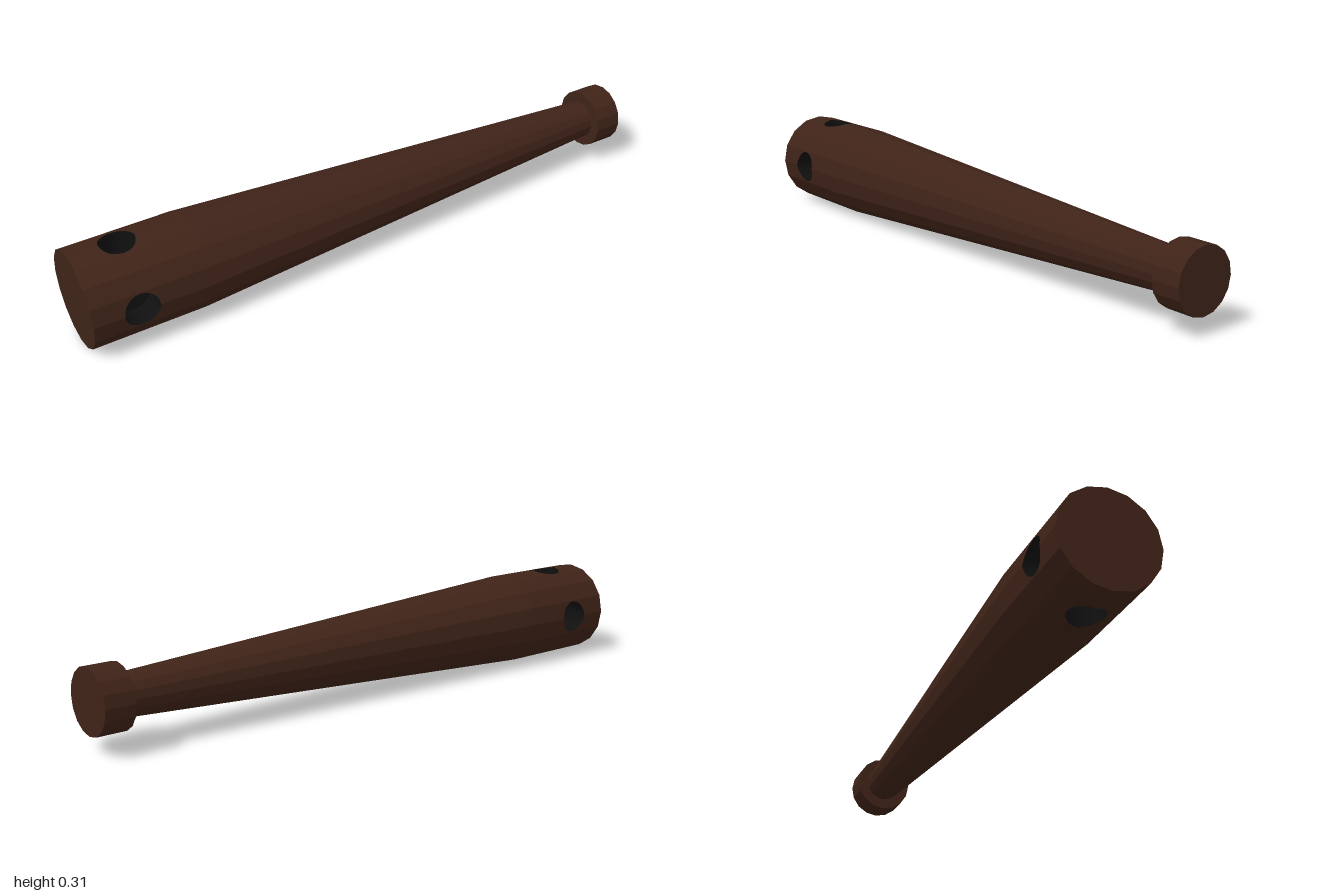
import * as THREE from 'three';

const SIDES = 16, R = 0.155, NECK_R = 0.064, KNOB_R = 0.1;
const BUTT = -1, TAPER_START = -0.64, KNOB_START = 0.905, TIP = 1;
const HOLE_X = -0.85, HOLE_R = 0.055, HOLE_FLOOR = 0.07;
const HALF_WIDTH = R * Math.sin(Math.PI / 8); // half the width of two neighbouring facets
const surfaceY = (z) => R - Math.abs(z) * Math.tan(Math.PI / 16);

const wood = new THREE.MeshStandardMaterial({ color: 0x3f2318, flatShading: true });
const dark = new THREE.MeshStandardMaterial({ color: 0x101010, side: THREE.DoubleSide });

function add(parent, name, geometry, material = wood) {
  const mesh = new THREE.Mesh(geometry, material);
  mesh.name = name;
  parent.add(mesh);
  return mesh;
}

// Cylinder lying along x, from x0 (radius r0) to x1 (radius r1)
function bar(x0, r0, x1, r1, open) {
  return new THREE.CylinderGeometry(r1, r0, x1 - x0, SIDES, 1, open)
    .rotateZ(-Math.PI / 2).translate((x0 + x1) / 2, 0, 0);
}

// One facet beside the hole, with a half-round notch in its inner edge
function notchedFacet(sign) {
  const points = [new THREE.Vector2(BUTT, 0)];
  for (let i = 0; i <= 12; i++) {
    const a = Math.PI * (1 - i / 12);
    points.push(new THREE.Vector2(HOLE_X + HOLE_R * Math.cos(a), i % 12 ? sign * HOLE_R * Math.sin(a) : 0));
  }
  points.push(new THREE.Vector2(TAPER_START, 0),
    new THREE.Vector2(TAPER_START, sign * HALF_WIDTH),
    new THREE.Vector2(BUTT, sign * HALF_WIDTH));
  const g = new THREE.ShapeGeometry(new THREE.Shape(points)).rotateX(-Math.PI / 2);
  const p = g.attributes.position;
  for (let i = 0; i < p.count; i++) p.setY(i, surfaceY(p.getZ(i)));
  g.computeVertexNormals();
  return g;
}

// Hole wall whose rim follows the folded surface
function holeWall() {
  const g = new THREE.CylinderGeometry(HOLE_R, HOLE_R, 1, 24, 1, true).translate(HOLE_X, 0, 0);
  const p = g.attributes.position;
  for (let i = 0; i < p.count; i++) p.setY(i, p.getY(i) > 0 ? surfaceY(p.getZ(i)) : HOLE_FLOOR);
  return g;
}

export function createModel() {
  const model = new THREE.Group();
  model.name = 'capstanBar';
  const body = new THREE.Group();
  body.name = 'body';
  body.position.y = R;
  model.add(body);

  // Thick head: four quarters, each with a hole and two plain facets
  for (let k = 0; k < 4; k++) {
    const quarter = new THREE.Group();
    quarter.name = 'headQuarter';
    quarter.rotation.x = k * Math.PI / 2;
    body.add(quarter);
    add(quarter, 'holeFacetFront', notchedFacet(1));
    add(quarter, 'holeFacetBack', notchedFacet(-1));
    const length = TAPER_START - BUTT;
    add(quarter, 'plainFacets',
      new THREE.CylinderGeometry(R, R, length, 2, 1, true, Math.PI / 8, Math.PI / 4)
        .rotateZ(-Math.PI / 2).translate(BUTT + length / 2, 0, 0));
    add(quarter, 'holeWall', holeWall(), dark);
    add(quarter, 'holeFloor',
      new THREE.CircleGeometry(HOLE_R, 24).rotateX(-Math.PI / 2).translate(HOLE_X, HOLE_FLOOR, 0), dark);
  }
  add(body, 'buttEnd', new THREE.CircleGeometry(R, SIDES).rotateY(-Math.PI / 2).translate(BUTT, 0, 0));

  // Tapered shaft and end knob
  add(body, 'shaft', bar(TAPER_START, R, KNOB_START, NECK_R, true));
  add(body, 'knob', bar(KNOB_START, KNOB_R, TIP, KNOB_R, false));
  return model;
}
